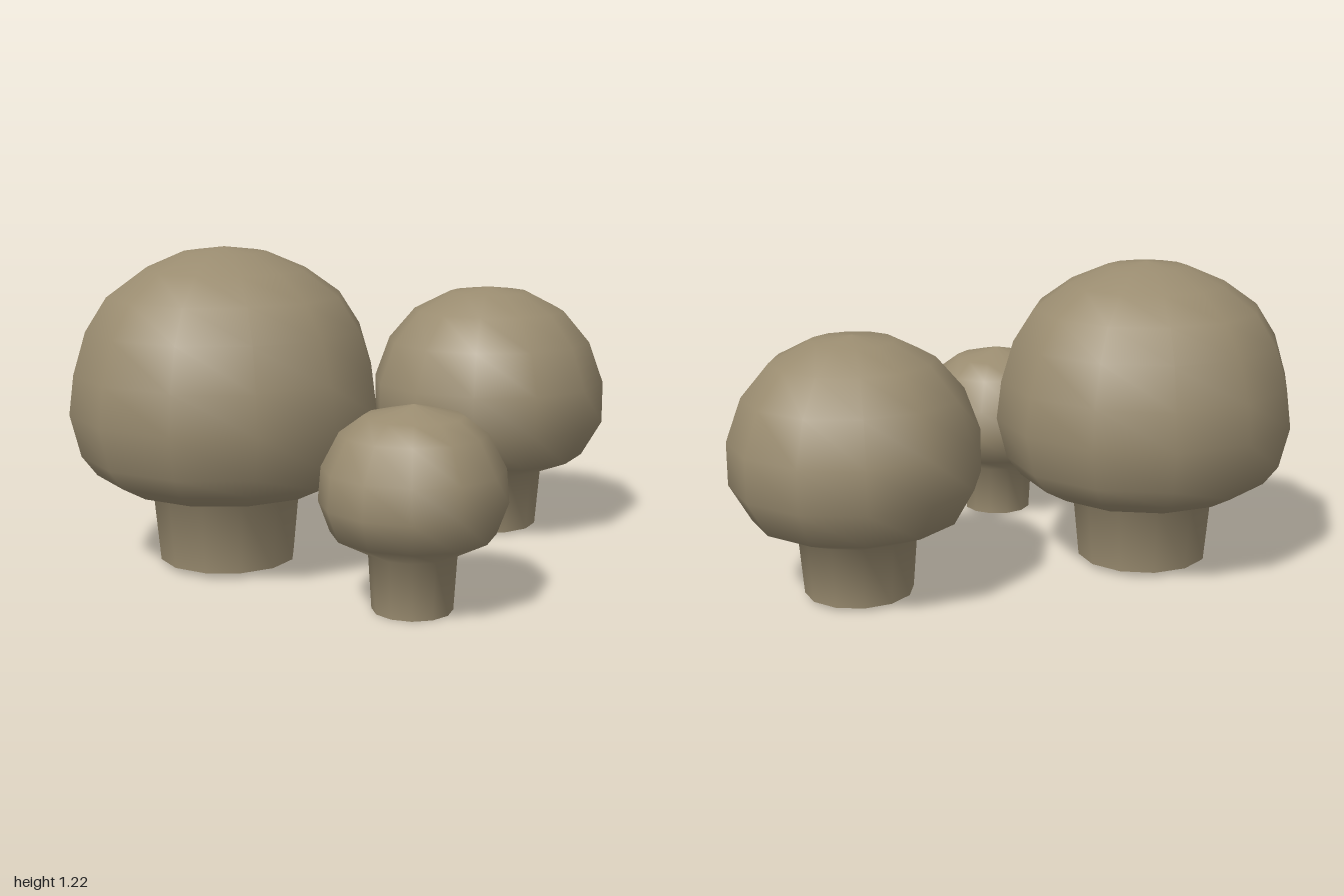
import * as THREE from 'three';

// Each profile runs from the open foot of the stem up to the crown: [radius, height]
const mushrooms = [
  {
    name: 'largeMushroom', x: -0.375, z: 0.27, turn: 0,
    profile: [[0.26, 0.02], [0.285, 0.285], [0.395, 0.31], [0.495, 0.365], [0.552, 0.44], [0.592, 0.6],
      [0.573, 0.75], [0.525, 0.91], [0.445, 1.035], [0.312, 1.13], [0.16, 1.195], [0, 1.215]],
  },
  {
    name: 'mediumMushroom', x: 0.492, z: -0.53, turn: 0.065,
    profile: [[0.208, 0.012], [0.227, 0.248], [0.394, 0.315], [0.474, 0.455], [0.474, 0.62],
      [0.414, 0.785], [0.308, 0.91], [0.16, 0.985], [0, 1.005]],
  },
  {
    name: 'smallMushroom', x: 0.446, z: 0.67, turn: 0.21,
    profile: [[0.143, 0], [0.156, 0.207], [0.289, 0.275], [0.33, 0.385], [0.32, 0.505],
      [0.257, 0.627], [0.175, 0.687], [0, 0.728]],
  },
];

export function createModel() {
  const model = new THREE.Group();
  model.name = 'mushroomCluster';
  const tan = new THREE.MeshStandardMaterial({ color: 0x9a8c70, side: THREE.DoubleSide });
  tan.name = 'mushroomTan';

  // Stem and cap are one smooth twelve-sided turned skin, open underneath
  for (const { name, x, z, turn, profile } of mushrooms) {
    const points = profile.map(([r, y]) => new THREE.Vector2(r, y));
    const mesh = new THREE.Mesh(new THREE.LatheGeometry(points, 12), tan);
    mesh.name = name;
    mesh.position.set(x, 0, z);
    mesh.rotation.y = turn;
    model.add(mesh);
  }
  return model;
}
